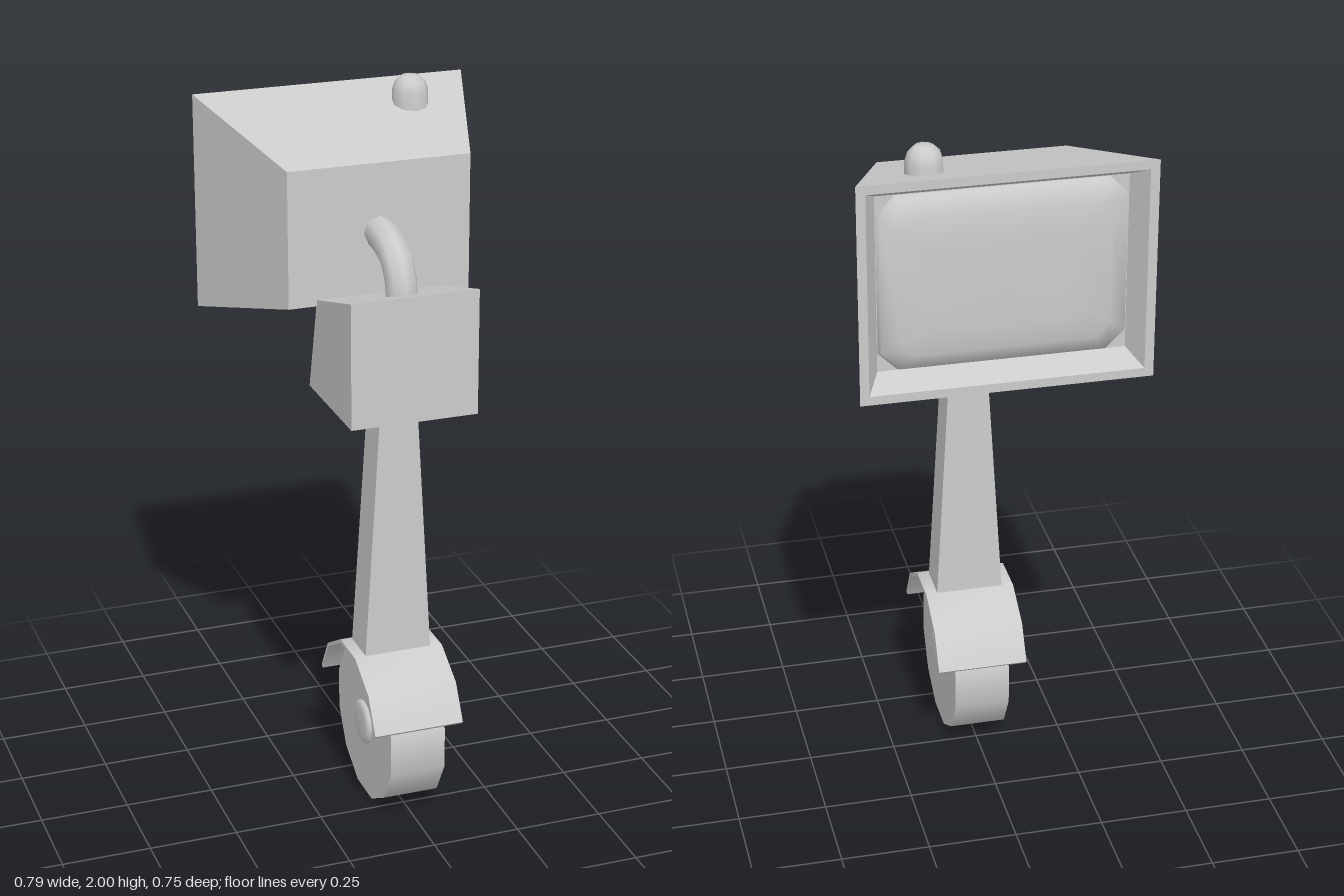
import * as THREE from 'three';
import { toCreasedNormals } from 'three/addons/utils/BufferGeometryUtils.js';

const material = new THREE.MeshStandardMaterial({ color: 0xcccccc });
const V = (x, y, z) => new THREE.Vector3(x, y, z);

// Skin over equal-sized rings of points (first ring anticlockwise seen from +z, moving to -z), capped at both ends.
function loft(rings, crease) {
  const n = rings[0].length, last = (rings.length - 1) * n, index = [];
  for (let i = 0; i < rings.length - 1; i++) {
    for (let j = 0; j < n; j++) {
      const a = i * n + j, b = i * n + (j + 1) % n;
      index.push(a, a + n, b, b, a + n, b + n);
    }
  }
  for (let k = 1; k < n - 1; k++) index.push(0, k, k + 1, last, last + k + 1, last + k);
  const g = new THREE.BufferGeometry().setFromPoints(rings.flat());
  g.setIndex(index);
  return toCreasedNormals(g, crease);
}

// Rectangle ring with corners cut by c
function ring(w, y0, y1, z, c = 0) {
  if (!c) return [V(-w, y0, z), V(w, y0, z), V(w, y1, z), V(-w, y1, z)];
  return [V(-w + c, y0, z), V(w - c, y0, z), V(w, y0 + c, z), V(w, y1 - c, z),
    V(w - c, y1, z), V(-w + c, y1, z), V(-w, y1 - c, z), V(-w, y0 + c, z)];
}

// Side outline of [z, y] points, extruded across x
function sideProfile(points, width) {
  const shape = new THREE.Shape(points.map(p => new THREE.Vector2(...p)));
  const g = new THREE.ExtrudeGeometry(shape, { depth: width, bevelEnabled: false });
  g.translate(0, 0, -width / 2).rotateY(-Math.PI / 2);
  return toCreasedNormals(g, 0.7);
}

function hose(points) {
  const curve = new THREE.CatmullRomCurve3(points.map(([y, z]) => V(0, y, z)));
  return new THREE.TubeGeometry(curve, 7, 0.045, 8);
}

export function createModel() {
  const model = new THREE.Group();
  const add = (name, geometry) => {
    const mesh = new THREE.Mesh(geometry, material);
    mesh.name = name;
    model.add(mesh);
    return mesh;
  };

  // Head: tapered box with a recess in its large face
  add('head', loft([
    ring(0.26, 1.46, 1.845, 0.045),
    ring(0.395, 1.345, 1.96, -0.375),
    ring(0.37, 1.37, 1.935, -0.375),
    ring(0.335, 1.405, 1.9, -0.305),
  ], 0.3));

  // Bulging screen with cut corners
  add('screen', loft([
    ring(0.335, 1.405, 1.9, -0.3, 0.05),
    ring(0.325, 1.415, 1.89, -0.325, 0.05),
    ring(0.28, 1.46, 1.845, -0.345, 0.04),
    ring(0.2, 1.53, 1.775, -0.35, 0.03),
  ], 1.1));

  // Domed knob on top of the head
  const knob = [[0, 1.88], [0.051, 1.88], [0.051, 1.955], [0.043, 1.98], [0.025, 1.997], [0, 2]];
  add('knob', toCreasedNormals(
    new THREE.LatheGeometry(knob.map(p => new THREE.Vector2(...p)), 9), 1)).position.set(0.19, 0, -0.235);

  // Body block, and hoses joining it to the head
  add('body', sideProfile([[0.325, 1.205], [0.325, 1.56], [0.045, 1.478], [-0.025, 1.205]], 0.36));
  add('upperHose', hose([[1.49, 0.22], [1.545, 0.215], [1.59, 0.198], [1.635, 0.137], [1.653, 0.047], [1.653, 0.02]]));
  add('lowerHose', hose([[1.284, 0.03], [1.284, 0], [1.296, -0.063], [1.35, -0.12], [1.406, -0.142], [1.44, -0.145]]));

  // Tapered leg
  const leg = new THREE.BoxGeometry(1, 1, 1), p = leg.attributes.position;
  for (let i = 0; i < p.count; i++) {
    const top = p.getY(i) > 0;
    p.setXYZ(i, Math.sign(p.getX(i)) * (top ? 0.053 : 0.097), top ? 1.21 : 0.455,
      p.getZ(i) > 0 ? 0.2 : top ? 0.097 : 0.085);
  }
  leg.computeVertexNormals();
  add('leg', leg);

  // Thin arched mudguard
  const arc = (r) => [0, 1, 2, 3, 4, 5].map(i => {
    const a = Math.PI * (15 + 30 * i) / 180;
    return [0.1425 + r * Math.cos(a), 0.222 + r * Math.sin(a)];
  });
  const outer = arc(0.248), inner = arc(0.237);
  for (const side of [outer, inner]) { // shorten and flare the two lower ends
    const t = side === outer ? 0 : 0.008;
    side[0] = [0.375 - t, 0.3 - t];
    side[5] = [-0.09 + t, 0.3 - t];
  }
  add('mudguard', sideProfile([...outer, ...inner.reverse()], 0.26));

  // Twelve-sided wheel and its hub
  const wheel = new THREE.CylinderGeometry(0.23, 0.23, 0.16, 12, 1, false, Math.PI / 12);
  add('wheel', wheel.rotateZ(Math.PI / 2)).position.set(0, 0.222, 0.1425);
  const hub = [[0, -0.095], [0.048, -0.095], [0.063, -0.088], [0.066, -0.075],
    [0.066, 0.075], [0.063, 0.088], [0.048, 0.095], [0, 0.095]];
  const hubGeometry = new THREE.LatheGeometry(hub.map(q => new THREE.Vector2(...q)), 12);
  add('hub', hubGeometry.rotateZ(Math.PI / 2)).position.set(0, 0.222, 0.1425);

  return model;
}
